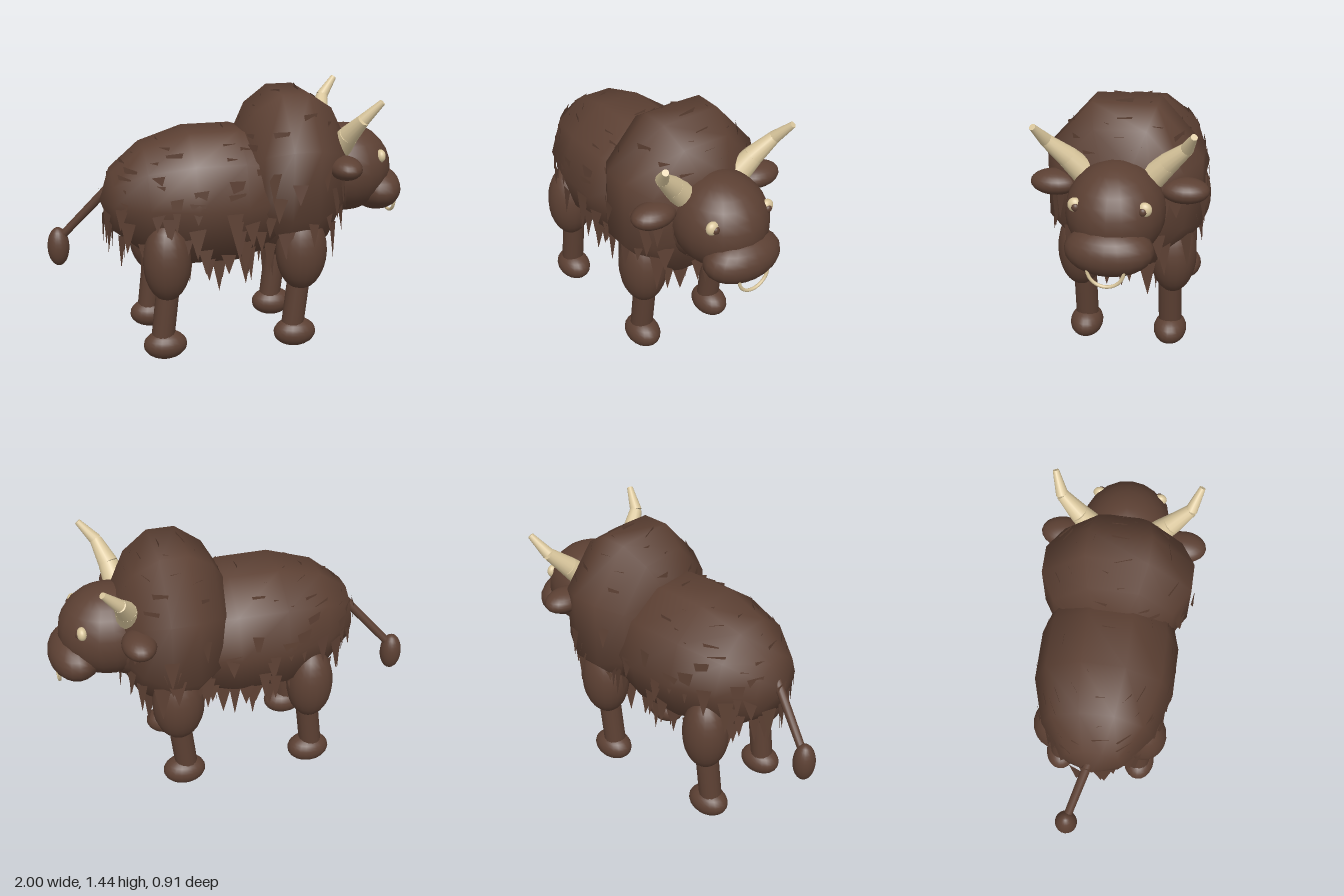
import * as THREE from 'three';

const mat = (name, color, side = THREE.FrontSide) => {
  const m = new THREE.MeshStandardMaterial({ color, side });
  m.name = name;
  return m;
};

export function createModel() {
  const root = new THREE.Group();
  root.name = 'shaggyBull';
  const hide = mat('brown hide', 0x5c4033, THREE.DoubleSide);
  const horn = mat('pale horn', 0xd9c69c);

  const add = (name, geometry, material) => {
    const mesh = new THREE.Mesh(geometry, material);
    mesh.name = name;
    root.add(mesh);
    return mesh;
  };
  // Smooth ellipsoid
  const blob = (name, p, r, material = hide) => {
    const g = new THREE.SphereGeometry(1, 20, 14);
    g.scale(...r);
    g.translate(...p);
    return add(name, g, material);
  };
  // Coarse ellipsoid with its poles along x and a flat facet on top
  const barrel = (name, p, r, sides) => {
    const g = new THREE.SphereGeometry(1, sides, 7);
    g.rotateZ(Math.PI / 2);
    g.rotateX(Math.PI / sides);
    g.scale(...r);
    g.translate(...p);
    return add(name, g, hide);
  };
  // Tapered rod between two points
  const rod = (name, a, b, ra, rb, material = hide) => {
    const A = new THREE.Vector3(...a), B = new THREE.Vector3(...b);
    const d = B.clone().sub(A);
    const mesh = add(name, new THREE.CylinderGeometry(rb, ra, d.length(), 14), material);
    mesh.position.copy(A).add(B).multiplyScalar(0.5);
    mesh.quaternion.setFromUnitVectors(new THREE.Vector3(0, 1, 0), d.normalize());
    return mesh;
  };

  // Torso, shoulder hump, neck and head
  const bodyP = [-0.11, 0.86, 0], humpP = [0.33, 0.965, 0];
  barrel('body', bodyP, [0.61, 0.395, 0.385], 10);
  barrel('shoulderHump', humpP, [0.34, 0.505, 0.445], 8);
  blob('neck', [0.55, 0.94, 0], [0.2, 0.265, 0.25]);
  blob('head', [0.665, 0.96, 0], [0.27, 0.25, 0.25]);
  blob('muzzle', [0.855, 0.836, 0], [0.145, 0.128, 0.222]);

  // Nose ring, hanging below the nostrils
  const ring = new THREE.TorusGeometry(0.09, 0.009, 8, 24, Math.PI * 1.1);
  ring.rotateZ(Math.PI * 0.95);
  ring.rotateY(Math.PI / 2);
  ring.translate(0.955, 0.775, 0);
  add('noseRing', ring, horn);

  for (const s of [1, -1]) {
    const side = s > 0 ? 'left' : 'right';
    // Ears and eyes
    blob(side + 'Ear', [0.56, 1.04, s * 0.33], [0.09, 0.063, 0.125]);
    blob(side + 'Eye', [0.826, 1.05, s * 0.17], [0.027, 0.037, 0.036], horn);
    blob(side + 'Pupil', [0.846, 1.046, s * 0.163], [0.016, 0.021, 0.02]);

    // Horn in three tapering segments
    const pts = [[0.58, 1.11, 0.17], [0.605, 1.2, 0.25], [0.65, 1.3, 0.345], [0.735, 1.4, 0.388]]
      .map(([x, y, z]) => [x, y, s * z]);
    const radii = [0.068, 0.055, 0.034, 0.017];
    for (let i = 0; i < 3; i++)
      rod(side + 'Horn' + (i + 1), pts[i], pts[i + 1], radii[i], radii[i + 1], horn);

    // Legs: thigh, shin and hoof
    for (const [end, x, r] of [['Front', 0.35, 0.143], ['Rear', -0.4, 0.13]]) {
      blob(side + end + 'Thigh', [x, 0.565, s * 0.25], [r, 0.222, 0.125]);
      const k = end === 'Front' ? 0 : 0.01;
      rod(side + end + 'Shin', [x + k, 0.45, s * 0.233], [x + k - 0.04, 0.1, s * 0.233], 0.063, 0.063);
      blob(side + end + 'Hoof', [x - 0.025 + k, 0.08, s * 0.235], [0.12, 0.08, 0.09]);
    }
  }

  // Tail with tuft
  rod('tail', [-0.66, 0.93, -0.01], [-0.91, 0.65, -0.1], 0.025, 0.022);
  blob('tailTuft', [-0.943, 0.575, -0.11], [0.06, 0.11, 0.06]);

  // Shaggy coat: thin pointed locks hanging straight down from the hide
  let seed = 7;
  const rand = () => (seed = (seed * 16807) % 2147483647) / 2147483647;
  const coat = (name, p, r, count) => {
    const verts = [];
    for (let i = 0; i < count; i++) {
      // even spread of directions over the ellipsoid
      const v = 1 - 2 * (i + 0.5) / count;
      const a = i * 2.39996 + rand() * 0.6;
      const q = Math.sqrt(1 - v * v);
      const n = [q * Math.cos(a), v, q * Math.sin(a)];
      const lift = 0.99 + rand() * 0.04;
      const c = n.map((t, k) => p[k] + t * r[k] * lift);
      // width runs around the body, horizontally
      const tx = -n[2] / r[2], tz = n[0] / r[0], tl = Math.hypot(tx, tz) || 1;
      const w = 0.03 + rand() * 0.02, len = 0.1 + rand() * 0.1;
      const ux = tx / tl * w, uz = tz / tl * w;
      const tilt = (rand() - 0.5) * 0.02;
      verts.push(c[0] - ux, c[1] + tilt, c[2] - uz,
        c[0] + n[0] * 0.01, c[1] - len, c[2] + n[2] * 0.01,
        c[0] + ux, c[1] - tilt, c[2] + uz);
    }
    const g = new THREE.BufferGeometry();
    g.setAttribute('position', new THREE.Float32BufferAttribute(verts, 3));
    g.computeVertexNormals();
    add(name, g, hide);
  };
  coat('bodyFur', bodyP, [0.6, 0.37, 0.37], 150);
  coat('shoulderFur', humpP, [0.33, 0.47, 0.41], 95);

  return root;
}
